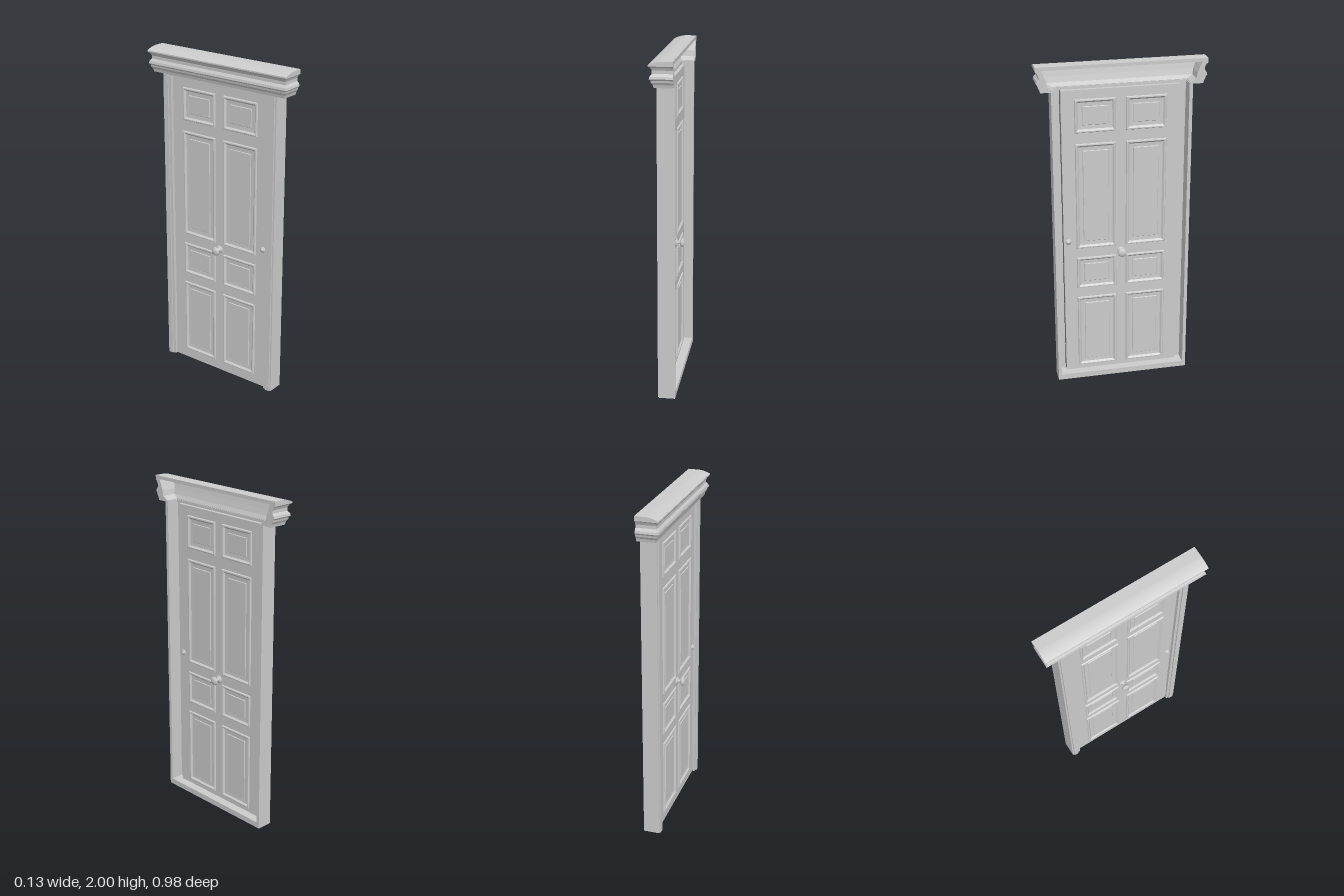
import * as THREE from 'three';

const material = new THREE.MeshStandardMaterial({ color: 0xcccccc, side: THREE.DoubleSide });

// Skins a list of equal-length point loops with flat-shaded quads.
function loft(sections, closed) {
  const pos = [];
  for (let i = 0; i + 1 < sections.length; i++) {
    const a = sections[i], b = sections[i + 1], n = a.length;
    for (let j = 0; j < (closed ? n : n - 1); j++) {
      const k = (j + 1) % n;
      pos.push(...a[j], ...b[j], ...b[k], ...a[j], ...b[k], ...a[k]);
    }
  }
  const g = new THREE.BufferGeometry();
  g.setAttribute('position', new THREE.Float32BufferAttribute(pos, 3));
  g.computeVertexNormals();
  return g;
}

export function createModel() {
  const model = new THREE.Group();
  model.name = 'panelledDoor';

  const add = (name, geometry, parent = model) => {
    const mesh = new THREE.Mesh(geometry, material);
    mesh.name = name;
    parent.add(mesh);
    return mesh;
  };
  // Box from its limits on each axis
  const box = (name, x0, x1, y0, y1, z0, z1) => {
    const m = add(name, new THREE.BoxGeometry(x1 - x0, y1 - y0, z1 - z0));
    m.position.set((x0 + x1) / 2, (y0 + y1) / 2, (z0 + z1) / 2);
  };

  // Frame: side jambs, stepped casings, sill and header
  for (const s of [1, -1]) {
    const side = (name, x0, x1, za, zb) =>
      box(name, x0, x1, 0, 1.86, Math.min(s * za, s * zb), Math.max(s * za, s * zb));
    side('jamb', -0.03, 0.065, 0.385, 0.405);
    side('outerCasing', -0.038, -0.015, 0.365, 0.395);
    side('innerCasing', -0.03, -0.015, 0.348, 0.365);
  }
  box('sill', -0.014, 0.065, 0, 0.035, -0.385, 0.385);
  box('header', -0.03, -0.008, 1.845, 1.862, -0.385, 0.385);

  // Door leaf: two faces with an opening for each panel
  const faces = [[-0.015, -1], [0.012, 1]]; // [x, outward direction]
  const rows = [[0.06, 0.54], [0.6, 0.805], [0.865, 1.525], [1.59, 1.79]];
  const half = 0.345;
  const rect = (Type, z0, z1, y0, y1) => new Type([
    new THREE.Vector2(-z0, y0), new THREE.Vector2(-z1, y0),
    new THREE.Vector2(-z1, y1), new THREE.Vector2(-z0, y1)]);
  const leaf = rect(THREE.Shape, -half, half, 0.002, 1.845);
  const door = new THREE.Group();
  door.name = 'door';
  model.add(door);

  // Moulded panels: nested rectangles, [inset, height] from edge to raised field
  const steps = [[0, 0], [0.004, 0.007], [0.011, 0.008], [0.021, -0.002],
    [0.044, -0.003], [0.047, 0.001]];
  for (const c of [0.149, -0.149]) {
    for (const [y0, y1] of rows) {
      leaf.holes.push(rect(THREE.Path, c - 0.12, c + 0.12, y0, y1));
      for (const [faceX, out] of faces) {
        const loops = steps.map(([d, height]) => {
          const h = 0.12 - d, x = faceX + out * height;
          return [[x, y0 + d, c - h], [x, y0 + d, c + h], [x, y1 - d, c + h], [x, y1 - d, c - h]];
        });
        add('panelMoulding', loft(loops, true), door);
        const [a, b, e, f] = loops[loops.length - 1];
        add('panelField', loft([[a, b], [f, e]], false), door);
      }
    }
  }
  for (const [x] of faces) {
    add('doorFace', new THREE.ShapeGeometry(leaf).rotateY(Math.PI / 2).translate(x, 0, 0), door);
  }
  add('doorEdge', loft(faces.map(([x]) => [
    [x, 0.002, -half], [x, 0.002, half], [x, 1.845, half], [x, 1.845, -half]]), true), door);

  // Turned knob in the centre and a small bell push at the side, on both faces
  const turned = (name, profile, y, z) => {
    const pts = profile.map(([r, h]) => new THREE.Vector2(r, h));
    for (const [x, out] of faces) {
      add(name, new THREE.LatheGeometry(pts, 20).rotateZ(-out * Math.PI / 2), door)
        .position.set(x, y, z);
    }
  };
  turned('knob', [[0.024, 0], [0.024, 0.004], [0.018, 0.008], [0.009, 0.011], [0.009, 0.024],
    [0.02, 0.029], [0.027, 0.037], [0.025, 0.044], [0.014, 0.05], [0, 0.052]], 0.83, 0);
  turned('bellPush', [[0.018, 0], [0.018, 0.004], [0.012, 0.008], [0.009, 0.008],
    [0.008, 0.013], [0, 0.015]], 0.915, 0.318);

  // Cornice: hollow moulding wrapped round three sides, points are [end z, front x, y]
  const cornice = new THREE.Group();
  cornice.name = 'cornice';
  model.add(cornice);
  const outer = [[0, 1.98], [0, 1.973], [0.011, 1.965], [0.018, 1.95], [0.018, 1.932],
    [0.007, 1.918], [0.004, 1.905], [0.012, 1.896], [0.014, 1.885], [0.022, 1.872], [0.026, 1.855]]
    .map(([o, y]) => [0.49 - o, -0.068 + o, y]);
  const inner = [[0.39, -0.012, 1.855], [0.39, -0.012, 1.864], [0.424, -0.022, 1.885],
    [0.43, -0.03, 1.918], [0.443, -0.036, 1.95], [0.456, -0.042, 1.98]];
  const ring = [...outer, ...inner];
  const back = 0.065;
  add('corniceMoulding', loft([
    ring.map(([z, , y]) => [back, y, z]),
    ring.map(([z, x, y]) => [x, y, z]),
    ring.map(([z, x, y]) => [x, y, -z]),
    ring.map(([z, , y]) => [back, y, -z]),
  ], true), cornice);
  // End faces of the moulding
  for (const s of [1, -1]) {
    const face = new THREE.Shape(ring.map(([z, , y]) => new THREE.Vector2(-s * z, y)));
    add('corniceEnd', new THREE.ShapeGeometry(face).rotateY(Math.PI / 2).translate(back, 0, 0), cornice);
  }
  // Gently sloped top slab
  const top = new THREE.Shape();
  top.moveTo(-0.068, 1.975);
  top.lineTo(-0.068, 1.981);
  top.quadraticCurveTo(-0.035, 1.997, 0, 2);
  top.lineTo(back, 2);
  top.lineTo(back, 1.98);
  top.lineTo(-0.04, 1.98);
  add('corniceTop', new THREE.ExtrudeGeometry(top, { depth: 0.98, bevelEnabled: false, curveSegments: 5 })
    .translate(0, 0, -0.49), cornice);

  return model;
}
